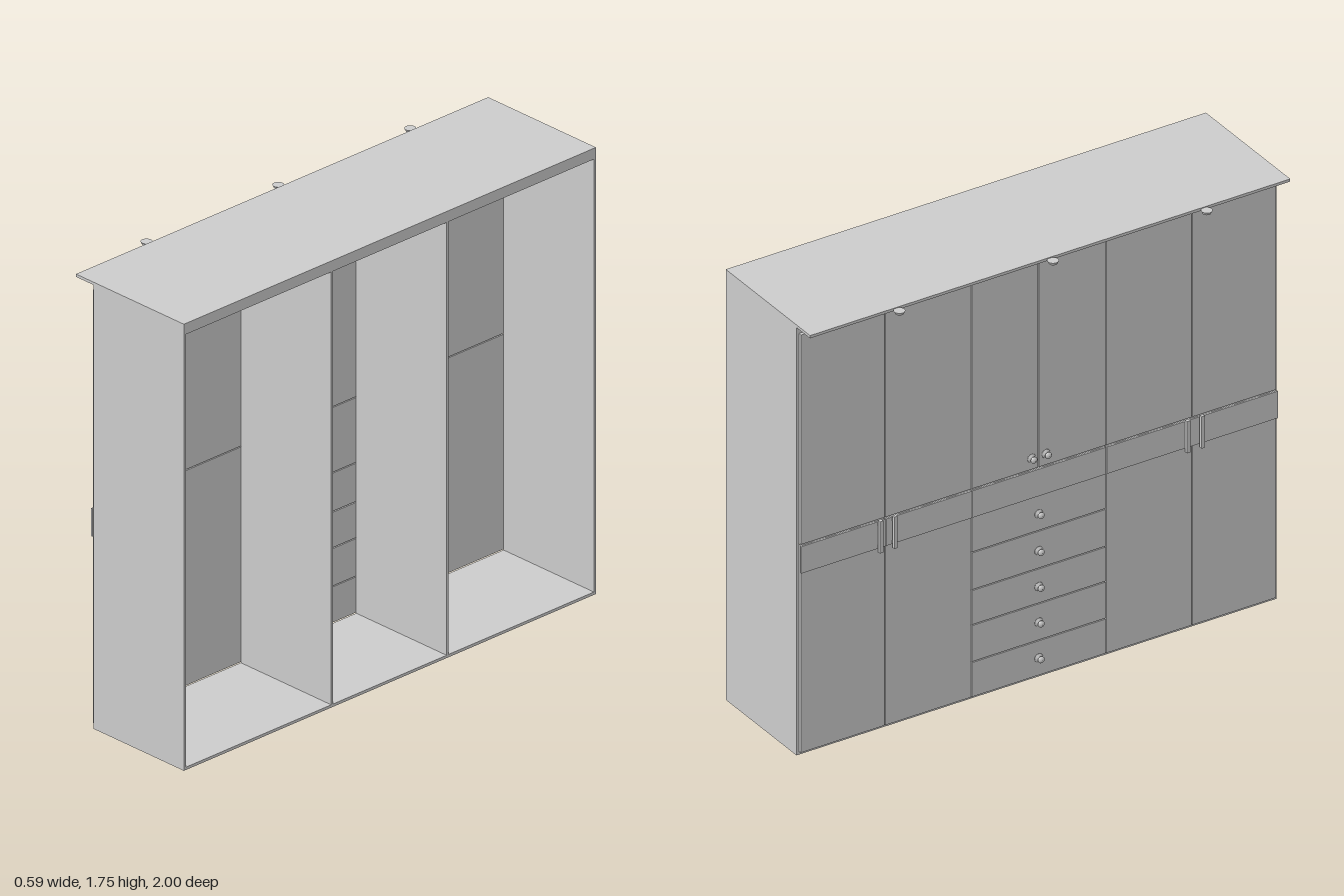
import * as THREE from 'three';

export function createModel() {
  const group = new THREE.Group();
  group.name = 'wardrobe';
  const mat = new THREE.MeshStandardMaterial({ color: 0xcccccc });

  // box given by its extents along x, y and z
  function panel(name, x0, x1, y0, y1, z0, z1) {
    const mesh = new THREE.Mesh(new THREE.BoxGeometry(x1 - x0, y1 - y0, z1 - z0), mat);
    mesh.position.set((x0 + x1) / 2, (y0 + y1) / 2, (z0 + z1) / 2);
    mesh.name = name;
    group.add(mesh);
  }

  const front = -0.167, back = 0.29, doorFace = -0.18, gap = 0.002;

  // carcass: open at the back (+x), doors on the -x side
  panel('floor', front, back, 0, 0.011, -0.99, 0.99);
  panel('ceiling', front, back, 1.705, 1.717, -0.99, 0.99);
  panel('cornice', front, back, 1.717, 1.737, -0.99, 0.99);
  panel('topBoard', -0.255, back, 1.737, 1.748, -1, 1);
  for (const s of [-1, 1]) {
    panel('side', front, back, 0, 1.737, s * 0.995 - 0.005, s * 0.995 + 0.005);
    panel('partition', front, back, 0.011, 1.705, s * 0.28 - 0.005, s * 0.28 + 0.005);
  }

  // doors, two per side bay plus the upper pair of the middle bay
  const door = (name, y0, y1, z0, z1) =>
    panel(name, doorFace, front, y0 + gap, y1 - gap, z0 + gap, z1 - gap);
  const split = 0.857;
  const edges = [-0.992, -0.64, -0.28, 0, 0.28, 0.64, 0.992];
  for (let i = 0; i < 6; i++) {
    door('upperDoor', split, 1.712, edges[i], edges[i + 1]);
    if (i !== 2 && i !== 3) door('lowerDoor', 0.012, split, edges[i], edges[i + 1]);
  }

  // drawer fronts of the middle bay
  const levels = [0.012, 0.155, 0.305, 0.447, 0.6, split];
  for (let i = 0; i < 5; i++) door('drawerFront', levels[i], levels[i + 1], -0.28, 0.28);

  // raised band across the fronts
  const bands = [[-0.995, -0.64], [-0.64, -0.28], [-0.28, 0.28], [0.28, 0.995]];
  for (const [a, b] of bands) panel('band', -0.186, doorFace + 0.001, 0.745, 0.854, a + gap, b - gap);

  // bar handles in pairs, on short posts
  for (const s of [-1, 1]) for (const d of [-0.03, 0.03]) {
    const z = s * 0.64 + d;
    panel('barHandle', -0.205, -0.192, 0.735, 0.864, z - 0.007, z + 0.007);
    for (const y of [0.755, 0.844]) panel('handlePost', -0.194, -0.184, y - 0.006, y + 0.006, z - 0.004, z + 0.004);
  }

  // turned knobs pointing to -x
  const knobProfile = [[0, 0], [0.018, 0], [0.016, 0.003], [0.007, 0.006], [0.006, 0.01],
    [0.012, 0.014], [0.013, 0.019], [0.009, 0.024], [0, 0.026]].map(p => new THREE.Vector2(...p));
  const knobGeo = new THREE.LatheGeometry(knobProfile, 20);
  function knob(y, z) {
    const mesh = new THREE.Mesh(knobGeo, mat);
    mesh.rotation.z = Math.PI / 2;
    mesh.position.set(doorFace, y, z);
    mesh.name = 'knob';
    group.add(mesh);
  }
  for (const y of [0.085, 0.23, 0.375, 0.52, 0.67]) knob(y, 0);
  for (const z of [-0.03, 0.03]) knob(0.905, z);

  // round spotlights under the overhanging edge
  const lampGeo = new THREE.CylinderGeometry(0.021, 0.015, 0.012, 24);
  for (const z of [-0.64, 0, 0.64]) {
    const lamp = new THREE.Mesh(lampGeo, mat);
    lamp.position.set(-0.274, 0.0 + 1.739, z);
    lamp.name = 'spotlight';
    group.add(lamp);
  }
  return group;
}
